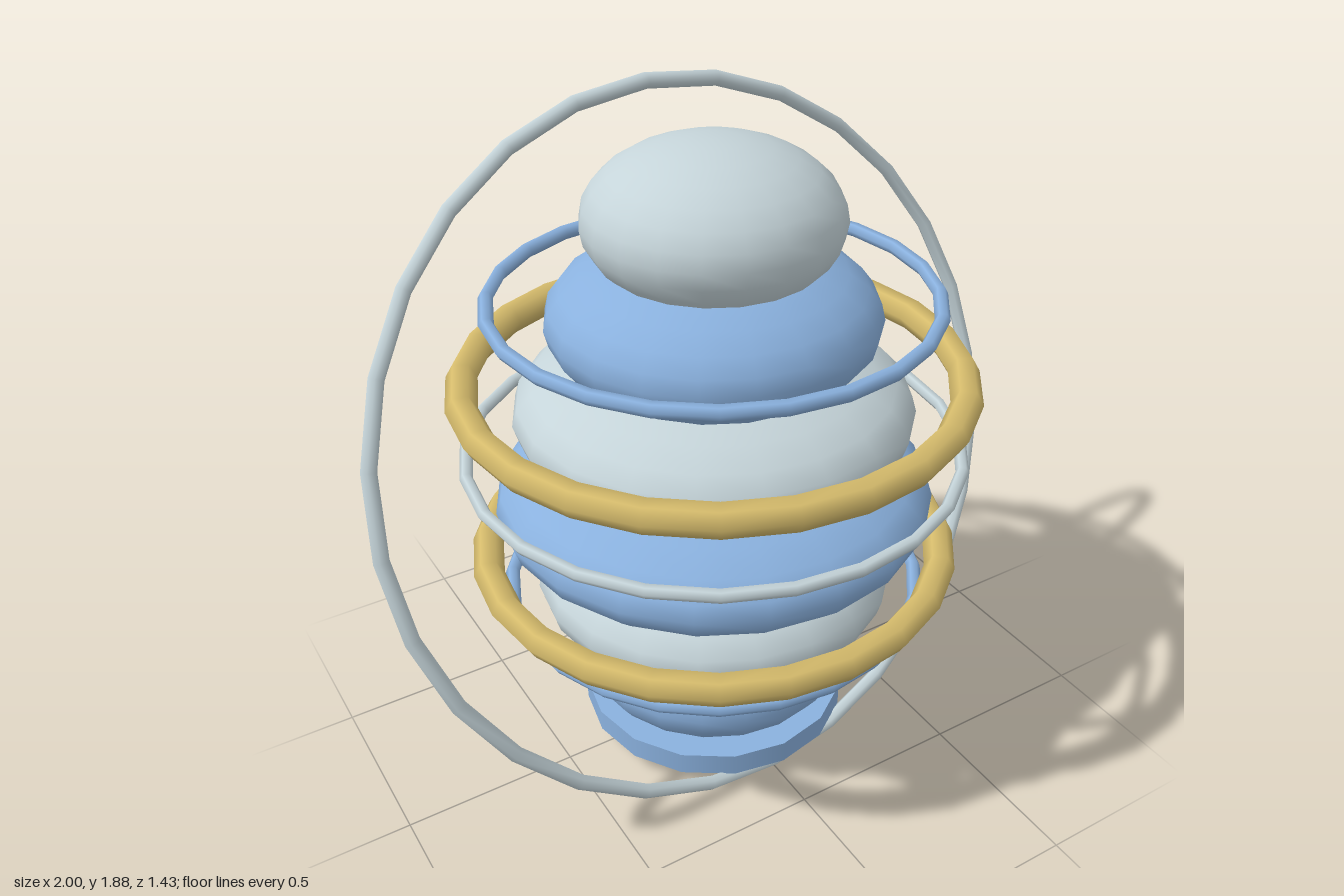
import * as THREE from 'three';

const paint = (name, color) => {
  const m = new THREE.MeshStandardMaterial({ color });
  m.name = name;
  return m;
};

export function createModel() {
  const group = new THREE.Group();
  const silver = paint('silver', 0xc5d4d9);
  const blue = paint('blue', 0x8ab1de);
  const gold = paint('gold', 0xd5bb6c);

  const add = (name, geometry, material, y) => {
    const mesh = new THREE.Mesh(geometry, material);
    mesh.name = name;
    mesh.position.y = y;
    group.add(mesh);
    return mesh;
  };

  // Round foot under the stack
  add('foot', new THREE.CylinderGeometry(0.39, 0.39, 0.068, 16), blue, 0.097);

  // Stack of flattened balls, bottom to top, alternating blue and silver
  [0.4, 0.51, 0.61, 0.545, 0.445, 0.34].forEach((radius, i) => {
    const ball = new THREE.SphereGeometry(1, 20, 14).scale(radius, 0.204, radius);
    add('ball' + (i + 1), ball, i % 2 ? silver : blue, 0.27 + i * 0.268);
  });

  // Level hoops around the stack: height, ring radius, tube radius
  [
    [0.508, 0.588, 0.02, blue],
    [0.63, 0.648, 0.043, gold],
    [0.953, 0.68, 0.018, silver],
    [1.163, 0.672, 0.043, gold],
    [1.395, 0.588, 0.02, blue],
  ].forEach(([y, radius, tube, material], i) => {
    const hoop = new THREE.TorusGeometry(radius, tube, 6, 24).rotateX(Math.PI / 2);
    add('hoop' + (i + 1), hoop, material, y);
  });

  // Large tilted orbit ring
  const orbit = add('orbitRing', new THREE.TorusGeometry(0.982, 0.021, 6, 28), silver, 0.945);
  orbit.rotation.set(-0.35, 0.09, 0);

  return group;
}
